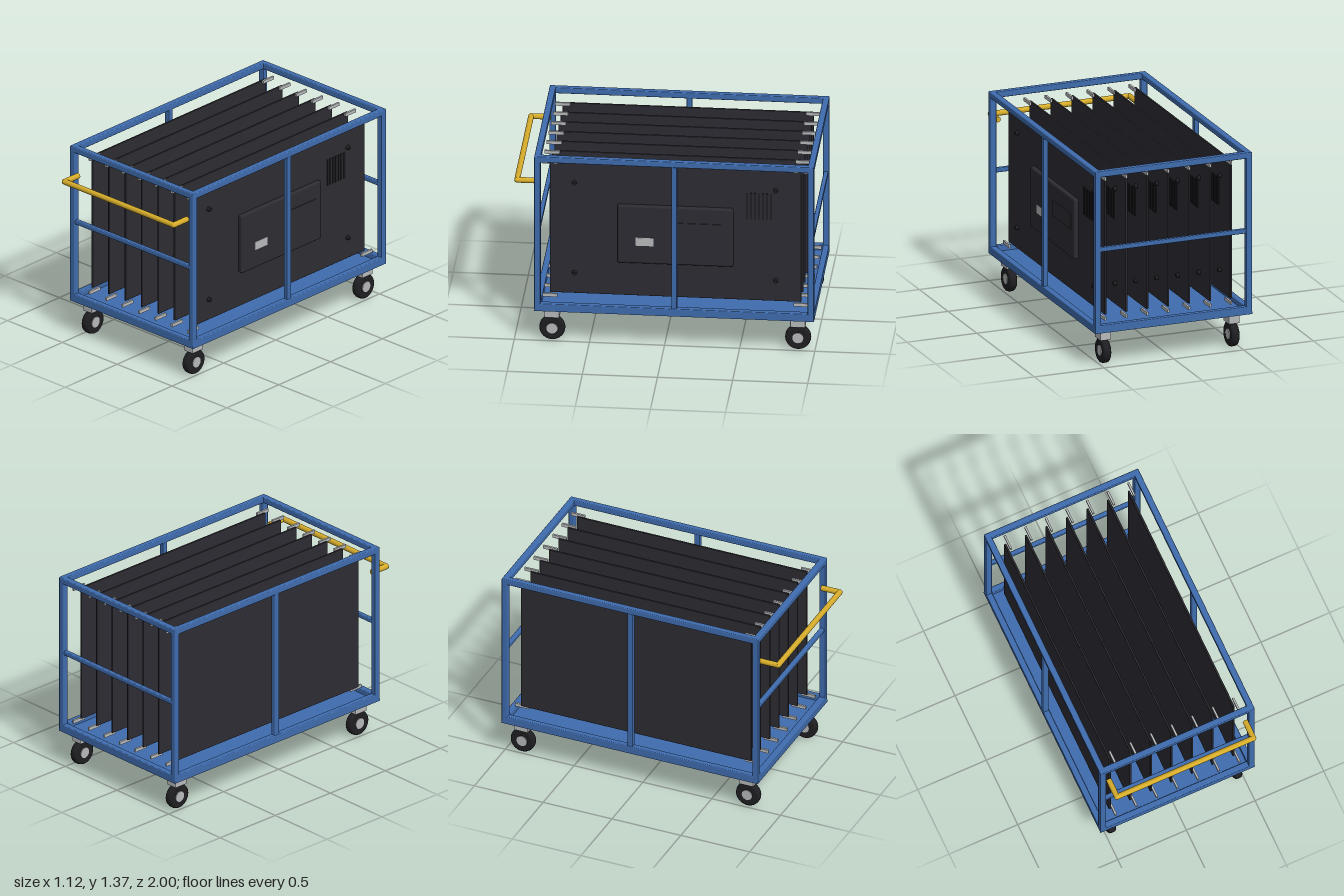
import * as THREE from 'three';
import { RoundedBoxGeometry } from 'three/addons/geometries/RoundedBoxGeometry.js';

const mat = (name, color) => {
  const m = new THREE.MeshStandardMaterial({ color });
  m.name = name;
  return m;
};

export function createModel() {
  const blue = mat('blue frame paint', 0x3f6cae);
  const yellow = mat('yellow handle paint', 0xd6ac2a);
  const silver = mat('light grey metal', 0xb8babc);
  const charcoal = mat('charcoal panel', 0x2d2c33);
  const black = mat('black rubber', 0x1f1f23);

  const cart = new THREE.Group();
  cart.name = 'panelCart';

  const add = (parent, name, geometry, material, x = 0, y = 0, z = 0) => {
    const mesh = new THREE.Mesh(geometry, material);
    mesh.name = name;
    mesh.position.set(x, y, z);
    parent.add(mesh);
    return mesh;
  };
  // Box given by its limits on each axis, optionally with rounded edges
  const block = (parent, name, material, [x0, x1], [y0, y1], [z0, z1], r = 0) => {
    const s = [x1 - x0, y1 - y0, z1 - z0];
    const g = r ? new RoundedBoxGeometry(...s, 2, r) : new THREE.BoxGeometry(...s);
    return add(parent, name, g, material, (x0 + x1) / 2, (y0 + y1) / 2, (z0 + z1) / 2);
  };

  // Frame
  const frame = new THREE.Group();
  frame.name = 'frame';
  cart.add(frame);
  const X = 0.562, Z0 = -1, Z1 = 0.862, ZC = (Z0 + Z1) / 2, T = 0.042, R = 0.006;
  block(frame, 'floor', blue, [-X, X], [0.243, 0.26], [Z0, Z1]);
  const zEnds = [[Z0, Z0 + T], [Z1 - T, Z1]];
  for (const s of [-1, 1]) {
    const xs = s < 0 ? [-X, -X + T] : [X - T, X];
    for (const zs of zEnds) block(frame, 'cornerPost', blue, xs, [0.245, 1.372], zs, R);
    block(frame, 'topSideRail', blue, xs, [1.33, 1.372], [Z0, Z1], R);
    block(frame, 'bottomSideRail', blue, xs, [0.25, 0.297], [Z0, Z1], R);
    const xm = s * (X - T / 2);
    block(frame, 'middlePost', blue, [xm - 0.018, xm + 0.018], [0.28, 1.35],
      [ZC - 0.019, ZC + 0.019], R);
  }
  for (const [a, b] of zEnds) {
    block(frame, 'topEndRail', blue, [-X, X], [1.33, 1.372], [a, b], R);
    block(frame, 'bottomEndRail', blue, [-X, X], [0.25, 0.297], [a, b], R);
    block(frame, 'middleEndRail', blue, [-X + 0.02, X - 0.02], [0.807, 0.838],
      [(a + b) / 2 - 0.015, (a + b) / 2 + 0.015], R);
  }

  // Push handle: crossbar, two arms and round corner joints
  const handle = new THREE.Group();
  handle.name = 'handle';
  cart.add(handle);
  const hr = 0.019, hx = 0.497, hy = 1.168, hz = 0.981;
  add(handle, 'handleBar', new THREE.CylinderGeometry(hr, hr, 2 * hx, 20), yellow, 0, hy, hz)
    .rotation.z = Math.PI / 2;
  for (const s of [-1, 1]) {
    add(handle, 'handleArm', new THREE.CylinderGeometry(hr, hr, hz - 0.85, 20), yellow,
      s * hx, hy, (hz + 0.85) / 2).rotation.x = Math.PI / 2;
    add(handle, 'handleCorner', new THREE.SphereGeometry(hr, 20, 12), yellow, s * hx, hy, hz);
  }

  // Casters
  const tyreProfile = [[0.034, -0.024], [0.072, -0.029], [0.082, -0.022], [0.086, -0.01],
    [0.086, 0.01], [0.082, 0.022], [0.072, 0.029], [0.034, 0.024]]
    .map(([x, y]) => new THREE.Vector2(x, y));
  const tyre = new THREE.LatheGeometry(tyreProfile, 32).rotateZ(Math.PI / 2);
  const hub = new THREE.CylinderGeometry(0.037, 0.037, 0.06, 24).rotateZ(Math.PI / 2);
  for (const x of [-0.46, 0.46]) for (const z of [-0.886, 0.75]) {
    const caster = new THREE.Group();
    caster.name = 'caster';
    caster.position.set(x, 0, z);
    cart.add(caster);
    block(caster, 'casterBracket', silver, [-0.039, 0.039], [0.167, 0.245], [-0.05, 0.05], 0.004);
    add(caster, 'tyre', tyre, black, 0, 0.086, 0);
    add(caster, 'hub', hub, silver, 0, 0.086, 0);
  }

  // Seven upright display panels, each with its rear details on the +x face
  const screw = new THREE.CylinderGeometry(0.012, 0.017, 0.022, 20).rotateZ(-Math.PI / 2);
  for (let i = -3; i <= 3; i++) {
    const panel = new THREE.Group();
    panel.name = 'displayPanel';
    panel.position.x = i * 0.15;
    cart.add(panel);
    block(panel, 'panelSheet', charcoal, [-0.007, 0.007], [0.337, 1.302], [-0.905, 0.766], 0.003);
    block(panel, 'rearHousing', charcoal, [0.003, 0.041], [0.585, 1.007], [-0.455, 0.316], 0.014);
    block(panel, 'connectorCover', charcoal, [0.035, 0.046], [0.785, 0.895], [-0.4, -0.09]);
    block(panel, 'label', silver, [0.04, 0.044], [0.718, 0.777], [0.075, 0.193]);
    for (const y of [0.487, 1.146]) for (const z of [-0.736, 0.603])
      add(panel, 'mountingScrew', screw, black, 0.017, y, z);
    // Vent slats
    for (let k = 0; k < 7; k++) {
      const z = -0.705 + k * 0.0265;
      block(panel, 'ventSlat', black, [0.006, 0.012], [0.93, 1.12], [z - 0.007, z + 0.007]);
    }
    // Holding clips at the four corners
    for (const ys of [[0.312, 0.335], [1.287, 1.31]])
      for (const zs of [[-0.957, -0.856], [0.714, 0.815]])
        block(panel, 'clip', silver, [0.014, 0.028], ys, zs);
  }

  return cart;
}
